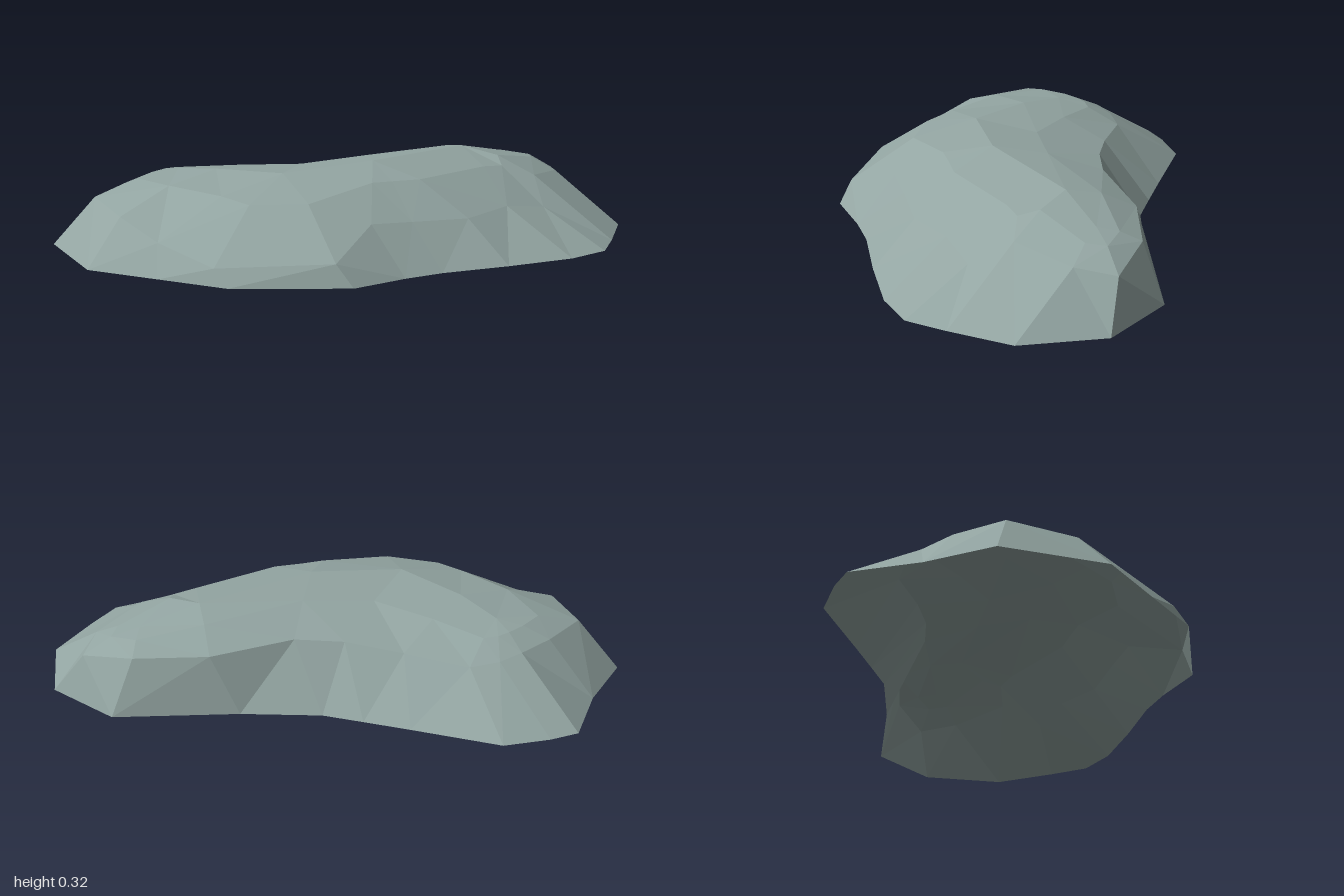
import * as THREE from 'three';

// Ground outline (x, z), clockwise as seen from above, starting at the back
const ground = [
  [0.27, -0.93], [0.59, -0.97], [0.86, -0.78], [0.95, -0.54], [1.0, -0.38], [0.95, -0.21],
  [0.81, 0.02], [0.66, 0.24], [0.59, 0.38], [0.51, 0.59], [0.15, 0.85], [-0.13, 0.904],
  [-0.42, 0.96], [-0.78, 0.77], [-0.87, 0.51], [-1.0, 0.27], [-0.96, 0.16], [-0.87, 0.0],
  [-0.56, -0.17], [-0.4, -0.26], [-0.26, -0.34], [-0.04, -0.56],
];

// Shoulder ring (x, y, z) where the steep sides turn into the top
const shoulder = [
  [0.27, 0.21, -0.82], [0.48, 0.17, -0.9], [0.57, 0.19, -0.77], [0.61, 0.22, -0.52],
  [0.72, 0.13, -0.4], [0.66, 0.16, -0.22], [0.62, 0.15, 0.0], [0.5, 0.16, 0.2],
  [0.42, 0.17, 0.35], [0.44, 0.08, 0.6], [0.08, 0.06, 0.84], [-0.19, 0.11, 0.83],
  [-0.4, 0.17, 0.8], [-0.64, 0.19, 0.68], [-0.68, 0.2, 0.46], [-0.68, 0.2, 0.3],
  [-0.66, 0.19, 0.2], [-0.6, 0.18, 0.1], [-0.38, 0.2, -0.03], [-0.2, 0.23, -0.17],
  [-0.07, 0.24, -0.31], [0.07, 0.22, -0.61],
];

// Ridge running from the back end to the front end
const ridge = [
  [0.38, 0.26, -0.7], [0.3, 0.312, -0.47], [0.2, 0.322, 0.02],
  [0.0, 0.302, 0.33], [-0.3, 0.287, 0.36], [-0.5, 0.262, 0.35],
];

// Ridge point that each column climbs to
const ridgeOf = [0, 0, 0, 1, 1, 1, 2, 2, 2, 3, 3, 3, 4, 5, 5, 5, 5, 5, 4, 3, 2, 1];

export function createModel() {
  const stone = new THREE.MeshStandardMaterial({ color: 0x93a5a2 });
  stone.name = 'grey green stone';
  stone.flatShading = true;
  stone.side = THREE.DoubleSide;

  // Four points per column: ground, shoulder, bulged upper point, ridge
  const columns = ground.map(([x, z], i) => {
    const m = new THREE.Vector3(...shoulder[i]);
    const top = new THREE.Vector3(...ridge[ridgeOf[i]]);
    const upper = m.clone().lerp(top, 0.5);
    upper.y += 0.22 * (top.y - m.y);
    return [new THREE.Vector3(x, 0, z), m, upper, top];
  });

  // Join neighbouring columns, splitting each quad along its shorter diagonal
  const positions = [];
  const triangle = (...corners) => {
    const [a, b, c] = corners;
    if (a.equals(b) || b.equals(c) || a.equals(c)) return;
    corners.forEach((p) => positions.push(p.x, p.y, p.z));
  };
  columns.forEach((left, i) => {
    const right = columns[(i + 1) % columns.length];
    for (let k = 0; k < 3; k++) {
      const [a, b, c, d] = [left[k], left[k + 1], right[k], right[k + 1]];
      if (b.distanceTo(c) <= a.distanceTo(d)) {
        triangle(a, b, c);
        triangle(c, b, d);
      } else {
        triangle(a, b, d);
        triangle(a, d, c);
      }
    }
  });

  // Open-bottomed faceted shell
  const geometry = new THREE.BufferGeometry();
  geometry.setAttribute('position', new THREE.Float32BufferAttribute(positions, 3));
  geometry.computeVertexNormals();

  const rock = new THREE.Mesh(geometry, stone);
  rock.name = 'rockShell';
  const group = new THREE.Group();
  group.name = 'flatRock';
  group.add(rock);
  return group;
}
